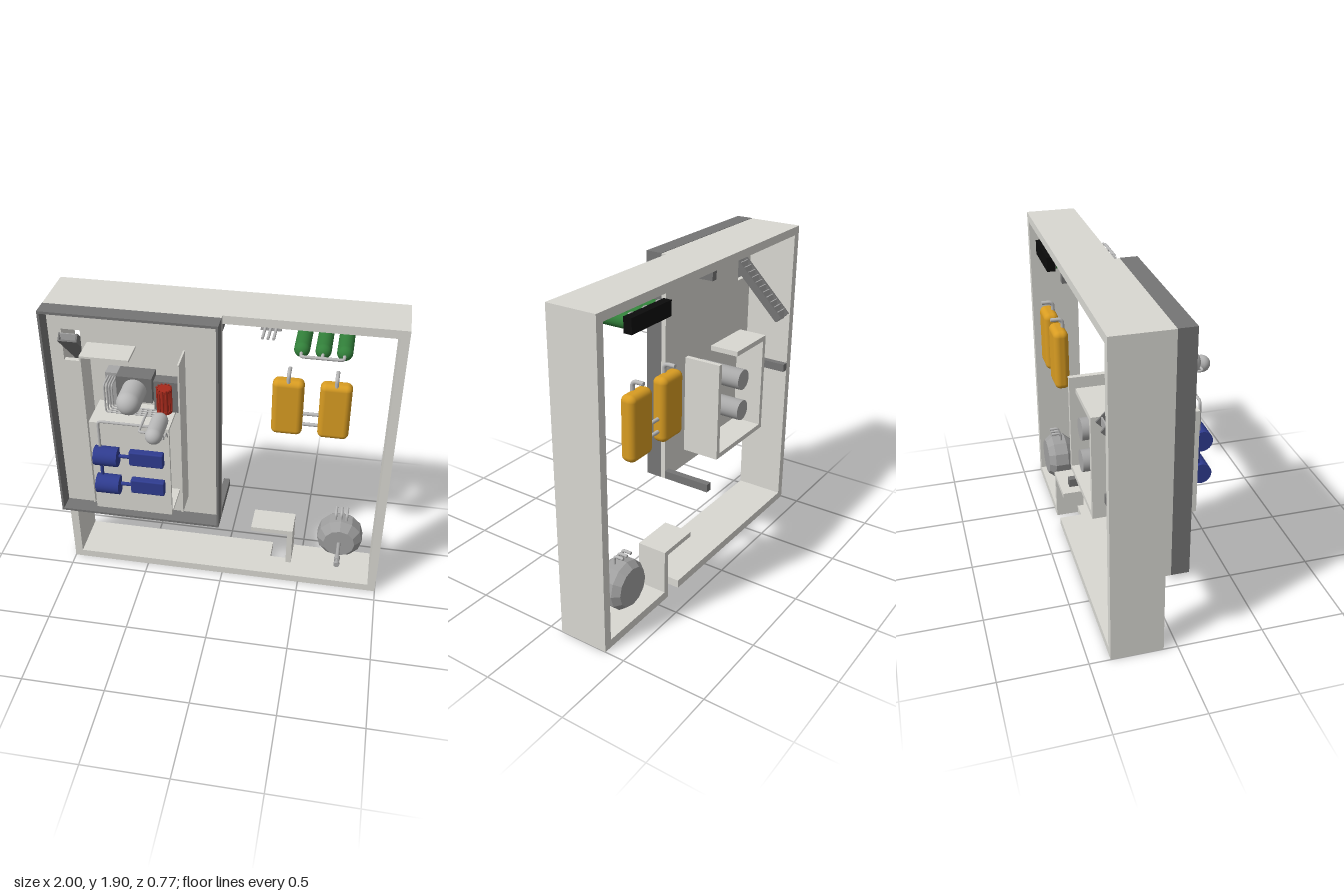
import * as THREE from 'three';
import { RoundedBoxGeometry } from 'three/addons/geometries/RoundedBoxGeometry.js';

const mat = (color, extra = {}) => new THREE.MeshStandardMaterial({ color, ...extra });
const V = (p) => new THREE.Vector3(...p);

export function createModel() {
  const root = new THREE.Group();
  const wallMat = mat(0xd9d8d2), dark = mat(0x757575), grey = mat(0xa8a8a8), steel = mat(0xb8b8b8);
  const facet = mat(0xa0a0a0, { flatShading: true });
  const blue = mat(0x2f3c90), gold = mat(0xd89c22), green = mat(0x32803a), red = mat(0xa82a1c), black = mat(0x0c0c0c);

  const add = (name, geometry, material, parent = root) => {
    const m = new THREE.Mesh(geometry, material);
    m.name = name;
    parent.add(m);
    return m;
  };
  // Box given by its limits on each axis
  const box = (name, [x0, x1], [y0, y1], [z0, z1], material, parent) => {
    const m = add(name, new THREE.BoxGeometry(x1 - x0, y1 - y0, z1 - z0), material, parent);
    m.position.set((x0 + x1) / 2, (y0 + y1) / 2, (z0 + z1) / 2);
    return m;
  };
  // Round bar between two points
  const rod = (name, a, b, r, material, sides = 24) => {
    const d = V(b).sub(V(a));
    const m = add(name, new THREE.CylinderGeometry(r, r, d.length(), sides), material);
    m.position.copy(V(a)).addScaledVector(d, 0.5);
    m.quaternion.setFromUnitVectors(new THREE.Vector3(0, 1, 0), d.normalize());
    return m;
  };
  // Pipe through points, with rounded bends
  const pipe = (name, pts, r, material = steel, bend = 0.02) => {
    const p = pts.map(V), path = new THREE.CurvePath();
    let last = p[0];
    for (let i = 1; i < p.length - 1; i++) {
      const a = p[i].clone().add(p[i - 1].clone().sub(p[i]).setLength(bend));
      const b = p[i].clone().add(p[i + 1].clone().sub(p[i]).setLength(bend));
      path.add(new THREE.LineCurve3(last, a));
      path.add(new THREE.QuadraticBezierCurve3(a, p[i], b));
      last = b;
    }
    path.add(new THREE.LineCurve3(last, p[p.length - 1]));
    add(name, new THREE.TubeGeometry(path, 60, r, 10), material);
    // End caps
    for (const [end, near] of [[p[0], p[1]], [p[p.length - 1], p[p.length - 2]]]) {
      const dir = end.clone().sub(near).normalize();
      const c = add(name + 'Cap', new THREE.CircleGeometry(r, 10), material);
      c.position.copy(end);
      c.quaternion.setFromUnitVectors(new THREE.Vector3(0, 0, 1), dir);
    }
  };
  // Round-ended tank lying along z
  const tank = (name, x, y, z0, z1, r, material) => {
    const m = add(name, new THREE.CapsuleGeometry(r, z1 - z0 - 2 * r, 10, 28), material);
    m.rotation.x = Math.PI / 2;
    m.position.set(x, y, (z0 + z1) / 2);
  };

  // Outer frame, with a doorway notch at the back of the lower wall
  const D = [-0.38, -0.08], inner = [-0.38, -0.2];
  box('frameTop', [-1, 1], [1.85, 1.9], D, wallMat);
  box('frameRightSide', [-1, -0.95], [0.05, 1.85], D, wallMat);
  box('frameLeftSide', [0.95, 1], [0.05, 1.85], D, wallMat);
  box('frameBottom', [-1, 0.3], [0, 0.05], D, wallMat);
  box('frameBottom', [0.405, 1], [0, 0.05], D, wallMat);
  box('doorSill', [0.3, 0.405], [0, 0.05], [-0.24, -0.08], wallMat);

  // Inner corner wall
  box('cornerWall', [0.405, 0.44], [0.05, 0.32], inner, wallMat);
  box('cornerWallArm', [0.17, 0.405], [0.29, 0.32], inner, wallMat);

  // Rear enclosure around the two long cylinders
  box('rearWallLeft', [-0.13, -0.1], [0.68, 1.28], [-0.38, -0.15], wallMat);
  box('rearWallRight', [-0.64, -0.61], [0.68, 1.3], inner, wallMat);
  box('rearWallBottom', [-0.61, -0.13], [0.68, 0.71], inner, wallMat);
  box('rearWallTop', [-0.61, -0.3], [1.27, 1.3], inner, wallMat);

  // Raised panel with a stair opening, and its rim
  const panel = new THREE.Shape([[-1, 0.505], [0, 0.505], [0, 1.9], [-1, 1.9]].map((p) => new THREE.Vector2(...p)));
  panel.holes.push(new THREE.Path([[-0.91, 1.55], [-0.91, 1.75], [-0.8, 1.75], [-0.8, 1.55]].map((p) => new THREE.Vector2(...p))));
  add('panel', new THREE.ExtrudeGeometry(panel, { depth: 0.03, bevelEnabled: false }), wallMat).position.z = -0.08;
  const rimZ = [-0.05, 0.05];
  box('rimBottom', [-1, 0], [0.505, 0.52], rimZ, dark);
  box('rimTop', [-1, 0], [1.887, 1.902], rimZ, dark);
  box('rimRight', [-1, -0.987], [0.52, 1.887], rimZ, dark);
  box('rimLeft', [-0.013, 0], [0.52, 1.887], rimZ, dark);

  // Braces behind the panel
  for (const [x, y] of [[-0.02, 0.53], [-0.02, 1.825], [-0.93, 0.99]])
    box('brace', [x - 0.02, x + 0.02], [y - 0.025, y + 0.025], [-0.38, -0.08], dark);

  // Sloping stair through the opening
  const stair = new THREE.Group();
  stair.name = 'stair';
  stair.position.set(-0.855, 1.54, -0.185);
  stair.rotation.x = Math.PI / 4;
  root.add(stair);
  for (const s of [-1, 1]) box('stairSide', [s * 0.05 - 0.005, s * 0.05 + 0.005], [-0.27, 0.27], [-0.025, 0.025], dark, stair);
  box('stairBacking', [-0.045, 0.045], [-0.27, 0.27], [0.015, 0.025], dark, stair);
  for (let i = 0; i < 14; i++) {
    const t = box('stairTread', [-0.045, 0.045], [-0.004, 0.004], [-0.03, 0.03], grey, stair);
    t.position.y = -0.25 + i * 0.0385;
    t.rotation.x = Math.PI / 4;
  }

  // Front shielding walls
  const shield = [-0.05, 0.11];
  box('shieldRight', [-0.765, -0.755], [0.65, 1.68], shield, wallMat);
  box('shieldLeft', [-0.215, -0.205], [0.65, 1.68], shield, wallMat);
  box('shieldTop', [-0.755, -0.485], [1.668, 1.68], shield, wallMat);

  // Machine cover: front plate with returned edges
  box('coverPlate', [-0.72, -0.258], [0.68, 1.3], [0.16, 0.18], wallMat);
  box('coverTop', [-0.72, -0.258], [1.285, 1.3], [-0.05, 0.16], wallMat);
  box('coverBottom', [-0.72, -0.258], [0.68, 0.695], [-0.05, 0.16], wallMat);
  box('coverSide', [-0.72, -0.708], [0.695, 1.285], [-0.05, 0.16], wallMat);

  // Twin machines: long cylinder behind, blue drum, shaft and block in front
  for (const y of [1.095, 0.895]) {
    rod('longCylinder', [-0.385, y, -0.38], [-0.385, y, 0.13], 0.063, grey, 32);
    rod('cylinderSpindle', [-0.385, y, 0.13], [-0.385, y, 0.17], 0.014, steel);
    rod('blueDrum', [-0.69, y, 0.212], [-0.552, y, 0.212], 0.058, blue, 32);
    rod('blueShaft', [-0.56, y, 0.2], [-0.48, y, 0.2], 0.011, blue);
    add('blueBlock', new RoundedBoxGeometry(0.2, 0.094, 0.045, 2, 0.008), blue).position.set(-0.39, y, 0.2);
  }
  rod('blueLink', [-0.66, 0.9, 0.2], [-0.66, 1.1, 0.2], 0.01, blue);
  pipe('mainPipe', [[-0.66, 1.12, 0.2], [-0.66, 1.323, 0.2], [-0.27, 1.323, 0.2]], 0.008);

  // Equipment bases and nested pipework
  box('pipeBase', [-0.648, -0.58], [1.33, 1.543], [-0.05, 0.03], grey);
  box('tankBase', [-0.58, -0.375], [1.385, 1.543], [-0.05, 0.06], dark);
  box('redBase', [-0.375, -0.236], [1.31, 1.507], [-0.05, 0.02], dark);
  for (let i = 0; i < 4; i++) {
    const x = -0.632 + i * 0.015, y = 1.34 + i * 0.014;
    pipe('nestedPipe', [[x, 1.52, -0.04], [x, 1.52, 0.12], [x, y, 0.12], [-0.34, y, 0.12]], 0.005, steel, 0.015);
  }

  // Large and small grey tanks
  tank('largeTank', -0.475, 1.463, -0.04, 0.26, 0.069, steel);
  tank('smallTank', -0.305, 1.36, 0.14, 0.38, 0.048, steel);
  pipe('smallTankPipe', [[-0.395, 1.36, 0.12], [-0.395, 1.36, 0.31], [-0.33, 1.36, 0.31]], 0.007);
  for (const x of [-0.348, -0.266]) {
    pipe('smallTankStrut', [[x, 1.33, 0.28], [x, 1.3, 0.28], [x, 1.3, 0.21], [x, 1.25, 0.18]], 0.004, steel, 0.01);
  }

  // Red ribbed cylinder with end flanges
  rod('redCylinder', [-0.305, 1.345, 0.062], [-0.305, 1.495, 0.062], 0.038, red);
  for (const y of [1.35, 1.485]) rod('redFlange', [-0.305, y - 0.008, 0.062], [-0.305, y + 0.008, 0.062], 0.044, red);
  for (let i = 0; i < 12; i++) {
    const a = (i / 12) * Math.PI * 2, x = -0.305 + 0.04 * Math.cos(a), z = 0.062 + 0.04 * Math.sin(a);
    rod('redRib', [x, 1.345, z], [x, 1.5, z], 0.006, red, 8);
  }

  // Green bottles on a black rack with a shared header pipe
  box('bottleRack', [0.39, 0.73], [1.717, 1.803], [-0.38, -0.33], black);
  for (const x of [0.44, 0.555, 0.67]) {
    tank('greenBottle', x, 1.76, -0.36, 0.0, 0.043, green);
    add('bottleRing', new THREE.TorusGeometry(0.045, 0.004, 8, 32), steel).position.set(x, 1.76, -0.33);
  }
  pipe('headerPipe', [[0.44, 1.76, -0.01], [0.44, 1.76, 0.038], [0.67, 1.76, 0.038], [0.67, 1.76, -0.01]], 0.009);
  rod('headerBranch', [0.555, 1.76, -0.01], [0.555, 1.76, 0.038], 0.009, steel);

  // Wall box with three outlet pipes
  box('outletBox', [0.2, 0.315], [1.795, 1.85], [-0.25, -0.15], grey);
  for (const x of [0.228, 0.258, 0.288]) rod('outletPipe', [x, 1.823, -0.2], [x, 1.823, -0.01], 0.008, steel);

  // Gold tanks with connecting pipes
  for (const x of [0.353, 0.635]) {
    add('goldTank', new RoundedBoxGeometry(0.188, 0.375, 0.09, 5, 0.035), gold).position.set(x, 1.195, -0.335);
    pipe('goldTankPipe', [[x, 1.36, -0.31], [x, 1.43, -0.31], [x, 1.43, -0.38]], 0.012, steel, 0.03);
  }
  for (const y of [1.15, 1.075]) rod('goldTankLink', [0.43, y, -0.335], [0.56, y, -0.335], 0.011, steel);

  // Twelve-sided vessel with front shaft and three top pipes
  const profile = [[0, -0.375], [0.115, -0.375], [0.145, -0.335], [0.145, -0.25], [0.1, -0.2], [0, -0.2]];
  const vessel = add('vessel', new THREE.LatheGeometry(profile.map((p) => new THREE.Vector2(...p)), 12), facet);
  vessel.rotation.x = Math.PI / 2;
  vessel.position.set(0.74, 0.265, 0);
  rod('vesselShaft', [0.74, 0.265, -0.21], [0.74, 0.265, -0.03], 0.012, grey);
  for (const [z0, z1] of [[-0.075, -0.04], [-0.018, 0]]) rod('shaftKnob', [0.74, 0.265, z0], [0.74, 0.265, z1], 0.018, grey);
  rod('shaftTip', [0.74, 0.265, -0.04], [0.74, 0.265, -0.01], 0.01, grey);
  for (const x of [0.705, 0.74, 0.775])
    pipe('vesselPipe', [[x, 0.38, -0.28], [x, 0.45, -0.28], [x, 0.45, -0.34]], 0.009, steel, 0.025);

  return root;
}
